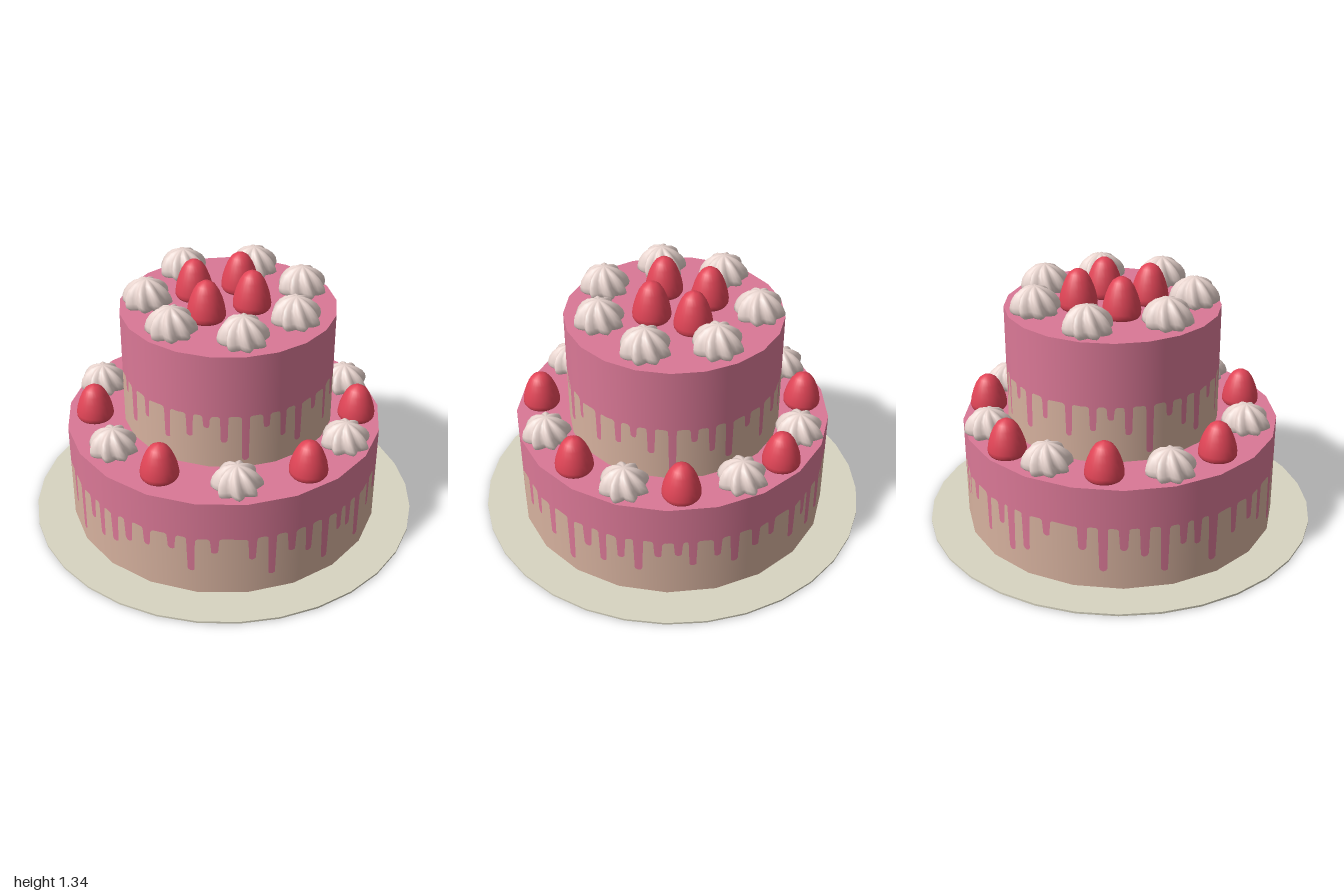
import * as THREE from 'three';
import { mergeVertices } from 'three/addons/utils/BufferGeometryUtils.js';

const SIDES = 21;
const STEP = (Math.PI * 2) / SIDES;
const rad = THREE.MathUtils.degToRad;

const mat = (name, color) => {
  const m = new THREE.MeshStandardMaterial({ color });
  m.name = name;
  return m;
};

// Band of wall around a many-sided tier, between two heights given per angle
function wall(R, lower, upper) {
  const per = 44, n = SIDES * per, pos = [], nor = [], idx = [];
  for (let i = 0; i <= n; i++) {
    const phi = Math.PI / 2 + (i / n) * Math.PI * 2;
    const off = ((i % per) / per - 0.5) * STEP;
    const r = (R * Math.cos(STEP / 2)) / Math.cos(off);
    const s = Math.sin(phi), c = Math.cos(phi);
    for (const y of [lower(phi), upper(phi)]) {
      pos.push(r * s, y, r * c);
      nor.push(s, 0, c);
    }
    if (i < n) {
      const a = i * 2;
      idx.push(a, a + 2, a + 1, a + 2, a + 3, a + 1);
    }
  }
  const g = new THREE.BufferGeometry();
  g.setAttribute('position', new THREE.Float32BufferAttribute(pos, 3));
  g.setAttribute('normal', new THREE.Float32BufferAttribute(nor, 3));
  g.setIndex(idx);
  return g;
}

// Height of the icing's lower edge: rounded drips hanging from a level line
function dripEdge(R, line, drips, half) {
  const round = 0.018;
  return (phi) => {
    let best = Infinity, tip = line;
    for (const [deg, y] of drips) {
      const a = phi - rad(deg);
      const d = Math.abs(Math.atan2(Math.sin(a), Math.cos(a))) * R;
      if (d < best) { best = d; tip = y; }
    }
    if (best < half) return tip + half - Math.sqrt(half * half - best * best);
    const e = round - (best - half);
    return e > 0 ? line - round + Math.sqrt(round * round - e * e) : line;
  };
}

function tier(name, R, y0, y1, edge, sponge, icing) {
  const g = new THREE.Group();
  g.name = name;
  const add = (part, geo, m) => {
    const mesh = new THREE.Mesh(geo, m);
    mesh.name = part;
    g.add(mesh);
    return mesh;
  };
  add('spongeSide', wall(R, () => y0, edge), sponge);
  add('icingDrips', wall(R, edge, () => y1), icing);
  add('icingTop', new THREE.CircleGeometry(R, SIDES).rotateX(-Math.PI / 2), icing).position.y = y1;
  return g;
}

const lathe = (pts, seg) =>
  new THREE.LatheGeometry(pts.map(([x, y]) => new THREE.Vector2(x, y)), seg);

// Piped cream: a dome pinched into eight slightly twisted ridges
function creamGeometry() {
  const g = lathe([[0.105, 0], [0.122, 0.015], [0.122, 0.035], [0.114, 0.062], [0.095, 0.09],
    [0.066, 0.113], [0.034, 0.126], [0, 0.13]], 48);
  g.deleteAttribute('uv');
  g.deleteAttribute('normal');
  const p = g.attributes.position;
  for (let i = 0; i < p.count; i++) {
    const x = p.getX(i), y = p.getY(i), z = p.getZ(i);
    const a = Math.atan2(z, x), r = Math.hypot(x, z);
    const t = Math.abs((((a * 8) / (Math.PI * 2)) % 1 + 1) % 1 - 0.5) * 2;
    const k = r * (0.74 + 0.28 * t), b = a + y * 2.5;
    p.setXYZ(i, k * Math.cos(b), y, k * Math.sin(b));
  }
  const m = mergeVertices(g, 1e-4);
  m.computeVertexNormals();
  return m;
}

export function createModel() {
  const sponge = mat('sponge', 0xd6b19e);
  const icing = mat('pinkIcing', 0xda7896);
  const berryRed = mat('berryRed', 0xe04456);
  const creamWhite = mat('cream', 0xe6d2cc);
  const plateMat = mat('plateIvory', 0xd8d4c1);

  const model = new THREE.Group();
  model.name = 'tieredCake';

  // Thin round plate
  const plate = new THREE.Mesh(new THREE.CylinderGeometry(1, 1, 0.01, 32), plateMat);
  plate.name = 'plate';
  plate.position.y = 0.005;
  model.add(plate);

  // Drips as [angle from the front, tip height]
  const lowFront = [[-49, 0.14], [-41, 0.25], [-28, 0.21], [-21, 0.1], [-14, 0.22], [-7, 0.18],
    [0, 0.09], [6.5, 0.22], [12, 0.2], [18, 0.085], [28, 0.18], [36, 0.21], [44, 0.15],
    [54, 0.08], [61, 0.21], [67, 0.15]];
  const lowSide = [[74, 0.21], [80, 0.14], [87, 0.24], [94, 0.25], [99, 0.18], [107.5, 0.23],
    [114, 0.16], [122, 0.22], [129, 0.24], [139, 0.14], [146, 0.22], [151, 0.1],
    [-56, 0.25], [-65, 0.24], [-73, 0.21], [-79, 0.17]];
  const lowDrips = [...lowFront, ...lowSide, ...lowFront.map(([a, y]) => [a + 207, y])];
  const topFront = [[-58, 0.7], [-49, 0.76], [-40, 0.68], [-29, 0.58], [-18, 0.75], [-8.6, 0.68],
    [1, 0.62], [12.6, 0.75], [23.6, 0.64], [35, 0.72], [49, 0.66]];
  const topDrips = [0, 120, 240].flatMap((o) => topFront.map(([a, y]) => [a + o, y]));

  // Two tiers, the upper one set slightly off centre
  model.add(tier('lowerTier', 0.803, 0.01, 0.54,
    dripEdge(0.8, 0.335, lowDrips, 0.02), sponge, icing));
  const upper = tier('upperTier', 0.536, 0.54, 1.145,
    dripEdge(0.53, 0.825, topDrips, 0.017), sponge, icing);
  upper.position.set(0.035, 0, -0.01);
  model.add(upper);

  // Decorations
  const berry = lathe([[0, 0], [0.085, 0], [0.093, 0.012], [0.094, 0.03], [0.088, 0.065],
    [0.077, 0.1], [0.062, 0.135], [0.044, 0.162], [0.022, 0.177], [0, 0.181]], 24);
  const cream = creamGeometry();
  const scatter = (name, geo, m, y, stretch, spots) => spots.forEach(([x, z], i) => {
    const mesh = new THREE.Mesh(geo, m);
    mesh.name = name + (i + 1);
    mesh.position.set(x, y, z);
    mesh.rotation.y = Math.atan2(x, z);
    mesh.scale.y = stretch;
    model.add(mesh);
  });
  scatter('lowerBerry', berry, berryRed, 0.54, 1, [[-0.065, -0.67], [0.44, -0.54],
    [0.685, -0.065], [0.505, 0.455], [-0.02, 0.68], [-0.59, 0.265], [-0.55, -0.365]]);
  scatter('upperBerry', berry, berryRed, 1.145, 1.08, [[-0.045, -0.18], [0.185, -0.105],
    [0.1, 0.095], [-0.14, 0.045]]);
  scatter('lowerCream', cream, creamWhite, 0.54, 1, [[-0.36, -0.58], [0.215, -0.64],
    [0.59, -0.35], [0.655, 0.205], [0.28, 0.615], [-0.36, 0.565], [-0.65, -0.04]]);
  scatter('upperCream', cream, creamWhite, 1.145, 1.04, [[-0.28, -0.25], [0.065, -0.42],
    [0.37, -0.22], [0.41, 0.11], [0.17, 0.34], [-0.15, 0.34], [-0.36, 0.065]]);

  return model;
}
